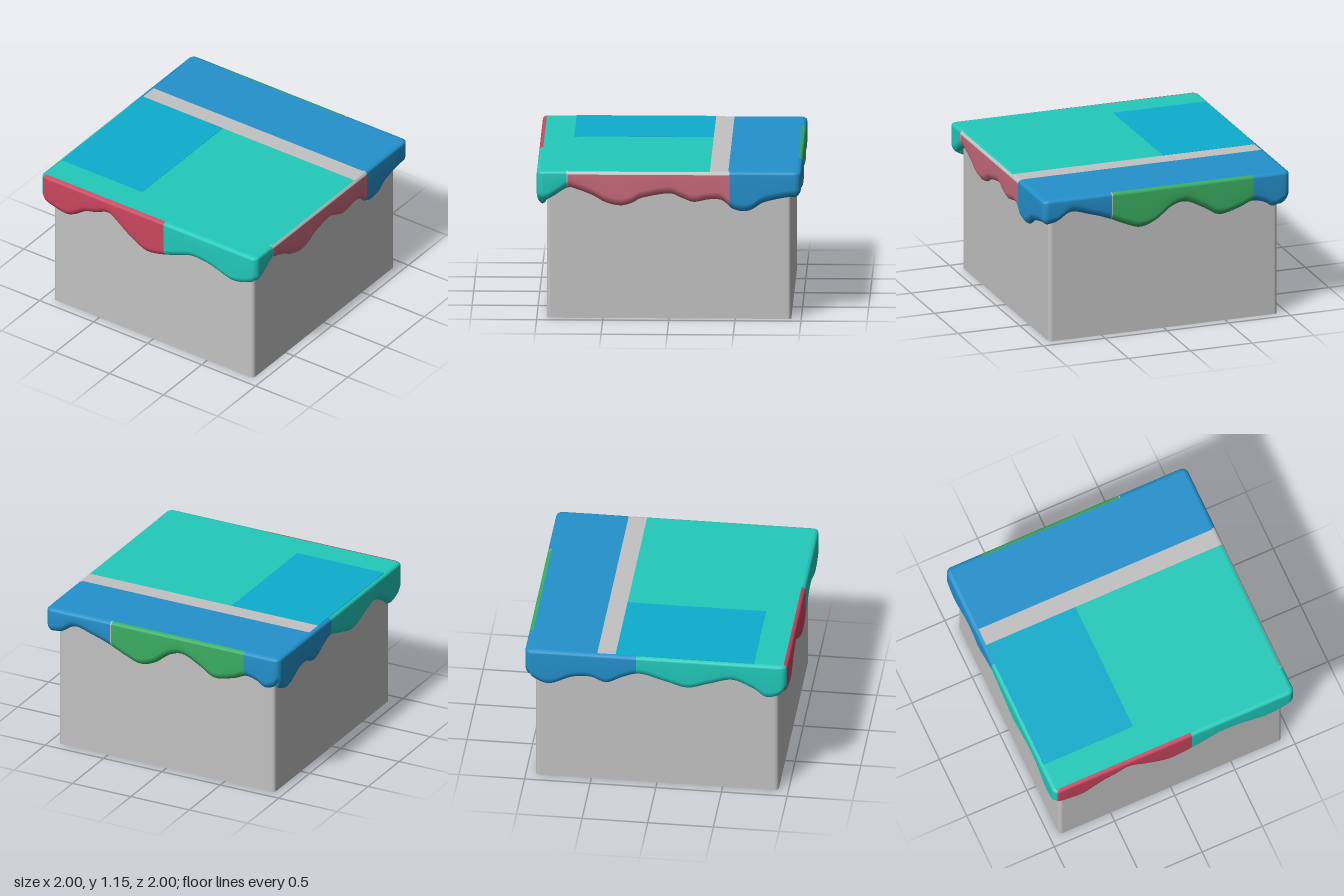
import * as THREE from 'three';

const mat = (name, color) => {
  const m = new THREE.MeshStandardMaterial({ color });
  m.name = name;
  return m;
};

export function createModel() {
  const group = new THREE.Group();
  const teal = mat('teal', 0x22cabb), blue = mat('blue', 0x2391cc), cyan = mat('cyan', 0x0eaece);
  const red = mat('red', 0xcb465f), pink = mat('pink', 0xcb6b7d), green = mat('green', 0x3aae62);
  const grey = mat('grey', 0xc2c2c2);
  const add = (name, geometry, material) => {
    const mesh = new THREE.Mesh(geometry, material);
    mesh.name = name;
    group.add(mesh);
    return mesh;
  };

  // Body: square block with rounded upright edges
  const H = 0.925, R = 0.03, I = H - R;
  const outline = new THREE.Shape();
  outline.absarc(I, I, R, 0, Math.PI / 2);
  outline.absarc(-I, I, R, Math.PI / 2, Math.PI);
  outline.absarc(-I, -I, R, Math.PI, Math.PI * 1.5);
  outline.absarc(I, -I, R, Math.PI * 1.5, Math.PI * 2);
  const body = new THREE.ExtrudeGeometry(outline, { depth: 1.12, bevelEnabled: false, curveSegments: 5 });
  add('body', body.rotateX(-Math.PI / 2), grey);

  // Flat top, in coloured bands
  const plate = (name, x0, x1, z0, z1, top, thick, material) => {
    const geometry = new THREE.BoxGeometry(x1 - x0, thick, z1 - z0);
    add(name, geometry.translate((x0 + x1) / 2, top - thick / 2, (z0 + z1) / 2), material);
  };
  plate('topBack', -0.97, 0.97, -0.97, -0.45, 1.15, 0.02, blue);
  plate('topStripe', -0.97, 0.97, -0.45, -0.31, 1.15, 0.02, grey);
  plate('topFront', -0.97, 0.97, -0.31, 0.97, 1.15, 0.02, teal);
  plate('topPatch', -0.975, -0.23, -0.31, 0.745, 1.152, 0.004, cyan);

  // Wavy lower edge of each side (distance along side, height): front, right, back, left
  const hems = [
    [[-1, 0.93], [-0.93, 0.895], [-0.78, 0.86], [-0.7, 0.885], [-0.6, 0.95], [-0.5, 0.98], [-0.4, 1.02],
      [-0.34, 1.005], [-0.22, 0.915], [-0.1, 0.84], [0, 0.812], [0.15, 0.845], [0.3, 0.9], [0.4, 0.93],
      [0.55, 0.918], [0.7, 0.87], [0.77, 0.855], [0.86, 0.87], [0.94, 0.905], [1, 0.93]],
    [[-1, 0.93], [-0.92, 0.925], [-0.77, 1.015], [-0.7, 1.005], [-0.58, 0.96], [-0.48, 0.905], [-0.37, 0.88],
      [-0.28, 0.9], [-0.2, 0.94], [0, 0.975], [0.1, 0.94], [0.19, 0.91], [0.3, 0.93], [0.4, 0.925],
      [0.48, 0.86], [0.56, 0.84], [0.63, 0.855], [0.72, 0.91], [0.9, 0.95], [1, 0.95]],
    [[-1, 0.95], [-0.88, 0.965], [-0.76, 1.03], [-0.6, 0.99], [-0.48, 0.95], [-0.32, 0.88], [-0.2, 0.842],
      [-0.08, 0.88], [0.05, 0.975], [0.17, 1], [0.32, 0.93], [0.44, 0.865], [0.6, 0.9], [0.7, 0.94],
      [0.8, 0.92], [0.88, 0.88], [1, 0.94]],
    [[-1, 0.94], [-0.9, 0.87], [-0.8, 0.85], [-0.64, 0.92], [-0.5, 0.93], [-0.38, 0.89], [-0.25, 0.95],
      [-0.12, 0.985], [0.08, 0.93], [0.24, 0.89], [0.41, 0.94], [0.58, 0.985], [0.74, 0.92], [0.83, 0.855],
      [0.92, 0.87], [1, 0.93]],
  ].map(points => new THREE.SplineCurve(points.map(p => new THREE.Vector2(...p))).getPoints(160));

  const hemAt = (side, t) => {
    const pts = hems[side];
    let i = 1;
    while (i < pts.length - 1 && pts[i].x < t) i++;
    const a = pts[i - 1], b = pts[i];
    return a.y + (b.y - a.y) * THREE.MathUtils.clamp((t - a.x) / (b.x - a.x), 0, 1);
  };

  // Cross-section of the cover edge as (inset, height), from the top rim to behind the hem
  const section = h => [
    [0.03, 1.15], [0.014, 1.146], [0.004, 1.138], [0, 1.125], [0, h + 0.06], [0.008, h + 0.032],
    [0.024, h + 0.01], [0.042, h], [0.062, h + 0.012], [0.078, h + 0.05],
  ];

  // Point on the rounded square; s runs 0 to 8 round the four sides
  const place = (side, t, inset, y) => {
    const r = Math.max(0, 0.05 - inset), c = 1 - inset - r;
    const a = Math.max(0, (Math.abs(t) - 0.95) / 0.05) * Math.PI / 4;
    const x = a > 0 ? Math.sign(t) * (c + r * Math.sin(a)) : THREE.MathUtils.clamp(t, -c, c);
    return new THREE.Vector3(x, y, c + r * Math.cos(a)).applyAxisAngle(new THREE.Vector3(0, 1, 0), side * Math.PI / 2);
  };

  const skirt = (name, material, from, to, row0 = 0, row1 = 9) => {
    const steps = Math.max(1, Math.ceil((to - from) / 0.0125)), rows = row1 - row0 + 1;
    const positions = [], index = [];
    for (let i = 0; i <= steps; i++) {
      const s = from + (to - from) * i / steps;
      const k = Math.floor(s / 2), side = k % 4, t = s - 2 * k - 1;
      for (const [inset, y] of section(hemAt(side, t)).slice(row0, row1 + 1)) {
        positions.push(...place(side, t, inset, y).toArray());
      }
      if (i === steps) break;
      for (let j = 0; j < rows - 1; j++) {
        const a = i * rows + j, b = a + rows;
        index.push(a, a + 1, b, b, a + 1, b + 1);
      }
    }
    const geometry = new THREE.BufferGeometry();
    geometry.setAttribute('position', new THREE.Float32BufferAttribute(positions, 3));
    geometry.setIndex(index);
    geometry.computeVertexNormals();
    add(name, geometry, material);
  };

  // Coloured lengths of the hanging edge
  skirt('frontRedDrip', red, 0.02, 1.145);
  skirt('frontRightCornerDrip', teal, 1.145, 2.225);
  skirt('rightSeam', grey, 2.225, 2.235);
  skirt('rightRimTop', teal, 2.235, 3.31, 0, 1);
  skirt('rightRimStripe', grey, 3.31, 3.46, 0, 1);
  skirt('rightRim', grey, 2.235, 3.46, 1, 3);
  skirt('rightPinkDrip', pink, 2.235, 3.46, 3, 9);
  skirt('backRightCornerDrip', blue, 3.46, 4.555);
  skirt('backSeam', grey, 4.555, 4.565);
  skirt('backGreenDrip', green, 4.565, 5.7);
  skirt('backLeftCornerDrip', blue, 5.7, 6.85);
  skirt('leftDrip', teal, 6.85, 8.02);

  return group;
}
